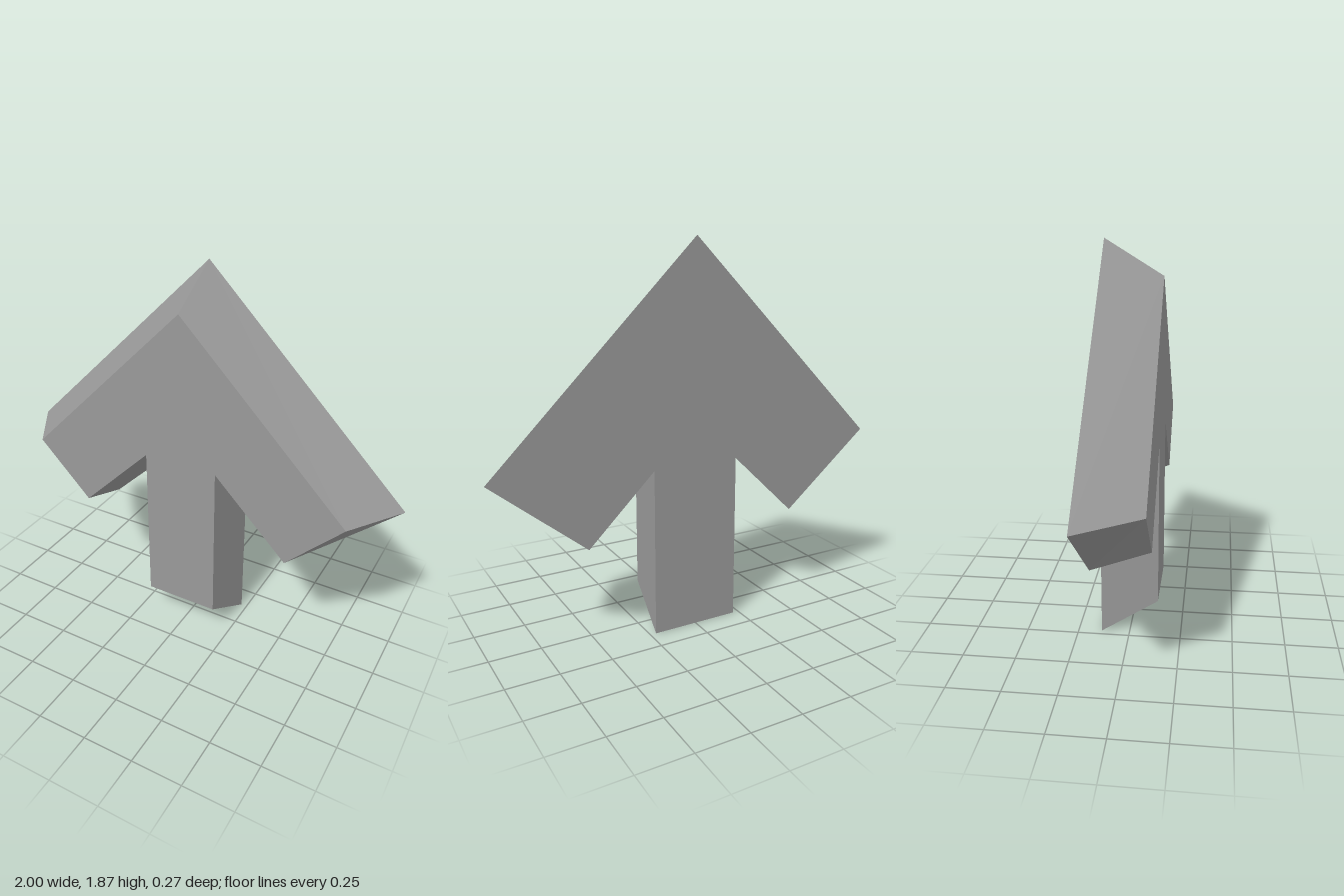
import * as THREE from 'three';

const DEPTH = 0.136; // half thickness

// Right half of each outline, from the bottom of the shaft up to the wing tip
const frontHalf = [[0.185, 0.16], [0.185, 0.965], [0.55, 0.6], [0.82, 0.875]];
const backHalf = [[0.22, 0], [0.22, 0.82], [0.55, 0.5], [1, 0.87]];

// Mirror a half outline around its apex, counter-clockwise seen from the front
function outline(half, apexY) {
  const left = half.map(([x, y]) => [-x, y]).reverse();
  return [...half, [0, apexY], ...left].map(([x, y]) => new THREE.Vector2(x, y));
}

function createModel() {
  const grey = new THREE.MeshStandardMaterial({ color: 0x999999 });
  grey.name = 'grey';

  const front = outline(frontHalf, 1.7);
  const back = outline(backHalf, 1.865);
  const n = front.length;
  const positions = [];
  const addFront = (i) => positions.push(front[i].x, front[i].y, DEPTH);
  const addBack = (i) => positions.push(back[i].x, back[i].y, -DEPTH);

  // Flat front and back faces
  for (const [a, b, c] of THREE.ShapeUtils.triangulateShape(front, [])) [a, b, c].forEach(addFront);
  for (const [a, b, c] of THREE.ShapeUtils.triangulateShape(back, [])) [a, c, b].forEach(addBack);

  // Sloping sides joining the two outlines
  for (let i = 0; i < n; i++) {
    const j = (i + 1) % n;
    addFront(i); addBack(i); addBack(j);
    addFront(i); addBack(j); addFront(j);
  }

  const geometry = new THREE.BufferGeometry();
  geometry.setAttribute('position', new THREE.Float32BufferAttribute(positions, 3));
  geometry.computeVertexNormals();

  const arrow = new THREE.Mesh(geometry, grey);
  arrow.name = 'arrow';

  const model = new THREE.Group();
  model.name = 'upArrow';
  model.add(arrow);
  return model;
}

export { createModel };
